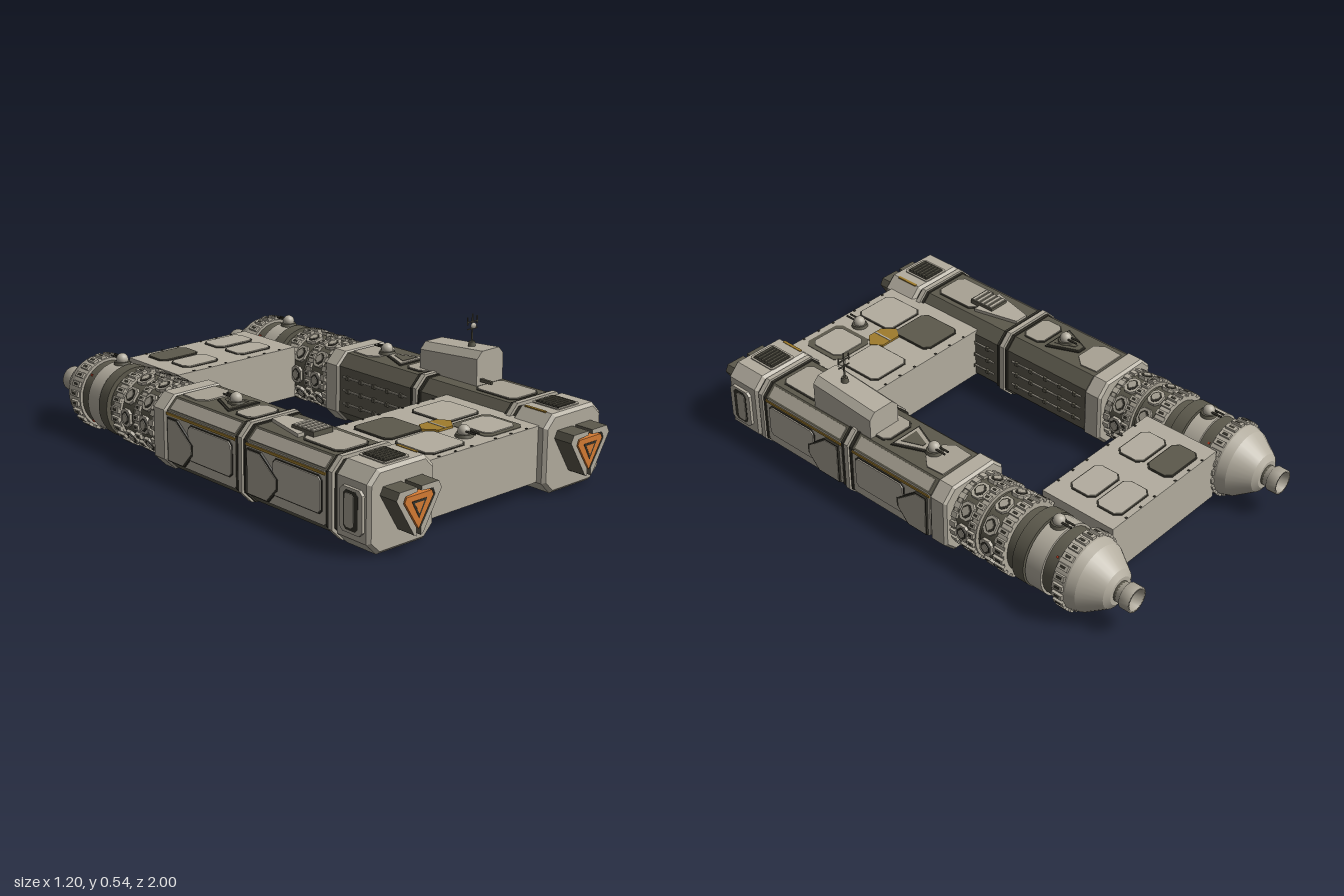
import * as THREE from 'three';

const paint = (name, color, side = THREE.FrontSide) => {
  const m = new THREE.MeshStandardMaterial({ color, side });
  m.name = name;
  return m;
};

export function createModel() {
  const light = paint('hull grey', 0xb3ad9f);
  const pale = paint('panel grey', 0xa8a294);
  const dark = paint('dark olive', 0x5c594c);
  const black = paint('recess black', 0x35332b);
  const orange = paint('signal orange', 0xd67c34);
  const gold = paint('ochre gold', 0xa07c2c);
  const red = paint('marker red', 0xb03a22);
  const root = new THREE.Group();
  root.name = 'twinHullShip';

  const add = (parent, name, geo, mat, x = 0, y = 0, z = 0) => {
    const m = new THREE.Mesh(geo, mat);
    m.name = name;
    m.position.set(x, y, z);
    parent.add(m);
    return m;
  };
  const box = (p, name, mat, w, h, d, x, y, z) => add(p, name, new THREE.BoxGeometry(w, h, d), mat, x, y, z);
  const poly = pts => new THREE.Shape(pts.map(([a, b]) => new THREE.Vector2(a, b)));
  // rectangle with cut corners
  const cut = (x0, x1, y0, y1, c) => [[x0 + c, y0], [x1 - c, y0], [x1, y0 + c], [x1, y1 - c],
    [x1 - c, y1], [x0 + c, y1], [x0, y1 - c], [x0, y0 + c]];
  const extrude = (shape, depth, bevel = 0) => new THREE.ExtrudeGeometry(shape, {
    depth: depth - 2 * bevel, bevelEnabled: bevel > 0, bevelThickness: bevel, bevelSize: bevel, bevelOffset: -bevel, bevelSegments: 1
  }).translate(0, 0, bevel);
  // eight-sided hull section running from z0 back to z1
  const section = (p, name, mat, hw, hh, c, z0, z1, bevel = 0) =>
    add(p, name, extrude(poly(cut(-hw, hw, -hh, hh, c)), z0 - z1, bevel), mat, 0, 0.155, z1);
  // thin plate lying on top, points given as [x, z]
  const topPlate = (p, name, mat, pts, y, h = 0.006) =>
    add(p, name, extrude(poly(pts.map(([x, z]) => [x, -z]).reverse()), h).rotateX(-Math.PI / 2), mat, 0, y, 0);
  // thin plate on a side wall facing s, points given as [z, y]
  const sidePlate = (p, name, mat, pts, s, x, h = 0.006) =>
    add(p, name, extrude(poly(pts.map(([z, y]) => [-s * z, y])), h).rotateY(s * Math.PI / 2), mat, s * x, 0, 0);
  const framedTop = (p, name, mat, x0, x1, z0, z1, y, rim = black) => {
    topPlate(p, name + 'Rim', rim, cut(x0, x1, z0, z1, 0.022), y, 0.003);
    const e = rim === dark ? 0.02 : 0.005;
    topPlate(p, name, mat, cut(x0 + e, x1 - e, z0 + e, z1 - e, 0.02), y, 0.007);
  };
  const ring = (p, name, mat, rFront, rBack, z0, z1) =>
    add(p, name, new THREE.CylinderGeometry(rFront, rBack, z0 - z1, 32).rotateX(Math.PI / 2), mat, 0, 0.155, (z0 + z1) / 2);
  const around = (p, name, mat, n, r, z, geo) => {
    for (let i = 0; i < n; i++) {
      const a = (i + 0.5) / n * Math.PI * 2;
      const m = add(p, name, geo, mat, Math.sin(a) * r, 0.155 + Math.cos(a) * r, z);
      m.rotation.z = -a;
    }
  };
  const turret = (p, x, y, z, dir) => {
    const t = new THREE.Group();
    t.name = 'turret';
    t.position.set(x, y, z);
    add(t, 'turretBase', new THREE.CylinderGeometry(0.03, 0.034, 0.012, 16), dark, 0, 0.006, 0);
    add(t, 'turretDome', new THREE.SphereGeometry(0.024, 16, 10), light, 0, 0.02, 0);
    for (const s of [-1, 1])
      add(t, 'gunBarrel', new THREE.CylinderGeometry(0.004, 0.004, 0.055, 8).rotateX(Math.PI / 2), black, s * 0.009, 0.024, dir * 0.035);
    p.add(t);
  };

  function hull(s) {
    const g = new THREE.Group();
    g.name = s > 0 ? 'leftHull' : 'rightHull';
    g.position.x = s * 0.43;
    root.add(g);

    // box hull: nose block, two bays, ribs and rear collar
    section(g, 'noseBlock', light, 0.153, 0.15, 0.045, 0.92, 0.755, 0.012);
    section(g, 'noseNeck', black, 0.142, 0.138, 0.04, 0.76, 0.71);
    section(g, 'hullCore', dark, 0.145, 0.14, 0.045, 0.72, -0.18);
    for (const z of [0.735, 0.262]) section(g, 'hullRib', light, 0.154, 0.15, 0.047, z + 0.008, z - 0.012);
    for (const z of [0.714, 0.283, 0.238]) section(g, 'darkRib', black, 0.15, 0.145, 0.046, z + 0.005, z - 0.005);
    section(g, 'rearCollar', light, 0.155, 0.146, 0.05, -0.17, -0.25, 0.01);

    // nose emblem: flared split triangle holding an orange wedge
    topless(g);
    // nose side hatch
    sidePlate(g, 'noseHatch', light, cut(0.79, 0.9, 0.075, 0.235, 0.015), s, 0.153, 0.012);
    sidePlate(g, 'noseHatchRecess', black, cut(0.81, 0.88, 0.085, 0.225, 0.012), s, 0.163, 0.003);
    sidePlate(g, 'noseHatchDoor', pale, cut(0.818, 0.86, 0.095, 0.215, 0.008), s, 0.163, 0.005);
    // nose vent and inner gold strip
    topPlate(g, 'ventRim', pale, cut(-0.06, 0.06, 0.765, 0.895, 0.008), 0.305, 0.004);
    topPlate(g, 'ventRecess', black, cut(-0.052, 0.052, 0.775, 0.885, 0.006), 0.305, 0.006);
    for (let i = 0; i < 6; i++) box(g, 'ventSlat', dark, 0.09, 0.006, 0.008, 0, 0.312, 0.788 + i * 0.017);
    topPlate(g, 'noseStripe', gold, cut(-s * 0.107 - 0.006, -s * 0.107 + 0.006, 0.78, 0.88, 0.002), 0.303, 0.004);

    // outer side armour of each bay
    for (const [z0, z1] of [[0.29, 0.705], [-0.168, 0.23]]) {
      sidePlate(g, 'sideArmour', light, cut(z0, z1, 0.055, 0.25, 0.008), s, 0.144, 0.005);
      const za = z1 - 0.015, zb = z1 - 0.27, zc = z0 + 0.012;
      sidePlate(g, 'panelGap', black, cut(zb, za, 0.09, 0.23, 0.015), s, 0.148, 0.003);
      sidePlate(g, 'sidePanel', light, cut(zb + 0.005, za - 0.005, 0.095, 0.225, 0.013), s, 0.148, 0.008);
      const wedge = e => [[zc + e, 0.06 + e], [zb - 0.02 - e, 0.06 + e], [zb + 0.035 - 2 * e, 0.12],
        [zb + 0.035 - 2 * e, 0.155], [zb - 0.06 - e, 0.23 - e], [zc + e, 0.23 - e]];
      sidePlate(g, 'wedgeGap', black, wedge(0), s, 0.149, 0.008);
      sidePlate(g, 'wedgePanel', pale, wedge(0.005), s, 0.149, 0.01);
      sidePlate(g, 'goldStripe', gold, [[z0, 0.236], [z1, 0.236], [z1, 0.246], [z0, 0.246]], s, 0.148, 0.004);
      // light strip on the outer upper slope
      const slope = box(g, 'slopePlate', pale, 0.048, 0.004, z1 - z0 - 0.02, s * 0.124, 0.274, (z0 + z1) / 2);
      slope.rotation.z = -s * Math.PI / 4;
      // service rails and clamps on the inner wall
      for (const y of [0.1, 0.155, 0.21]) {
        box(g, 'innerRail', pale, 0.006, 0.006, z1 - z0 - 0.04, -s * 0.148, y, (z0 + z1) / 2);
        for (let i = 0; i < 5; i++) box(g, 'railClamp', dark, 0.012, 0.016, 0.014, -s * 0.149, y, z0 + 0.05 + i * 0.075);
      }
    }

    // top deck
    framedTop(g, 'deckPanel', pale, -0.078, 0.078, 0.49, 0.695, 0.294);
    topPlate(g, 'rearDeckPanel', pale, [[-0.075, -0.165], [0.075, -0.165], [0.08, -0.09], [0.04, -0.045], [-0.05, -0.045], [-0.08, -0.08]].reverse(), 0.294).material.side = THREE.FrontSide;
    framedTop(g, 'midDeckPanel', pale, -0.075, 0.075, 0.12, 0.228, 0.294);
    topPlate(g, 'deckArrowRim', black, [[-0.075, 0.1], [0.075, 0.1], [0.02, -0.03], [-0.02, -0.03]], 0.294, 0.006);
    topPlate(g, 'deckArrow', s > 0 ? pale : dark, [[-0.065, 0.094], [0.065, 0.094], [0.015, -0.024], [-0.015, -0.024]], 0.294, 0.01);
    topPlate(g, 'deckArrowCentre', dark, [[-0.04, 0.08], [0.04, 0.08], [0.008, 0.0], [-0.008, 0.0]], 0.294, 0.012);
    turret(g, 0, 0.3, s > 0 ? -0.05 : 0.055, -1);

    // engine: stacked rings ending in a tapered nozzle
    const rings = [
      ['engineCore', dark, 0.126, 0.126, -0.24, -0.76], ['ringA', pale, 0.14, 0.14, -0.262, -0.28],
      ['ringB', dark, 0.136, 0.136, -0.28, -0.375], ['ringC', pale, 0.142, 0.142, -0.355, -0.385],
      ['ringD', dark, 0.136, 0.136, -0.4, -0.47], ['ringE', light, 0.143, 0.143, -0.475, -0.52],
      ['darkRing', dark, 0.145, 0.145, -0.56, -0.612], ['lightRing', light, 0.141, 0.141, -0.618, -0.69],
      ['neckRing', dark, 0.132, 0.132, -0.69, -0.74], ['ringF', light, 0.143, 0.143, -0.74, -0.8],
      ['nozzleShoulder', light, 0.143, 0.132, -0.8, -0.835], ['nozzleCone', light, 0.132, 0.078, -0.835, -0.915],
      ['nozzleEnd', light, 0.078, 0.055, -0.915, -0.93], ['nozzleThroat', dark, 0.04, 0.04, -0.92, -0.96],
    ];
    for (const r of rings) ring(g, ...r);
    add(g, 'exhaustTube', new THREE.LatheGeometry([[0.038, -0.92], [0.042, -0.955], [0.05, -0.96], [0.05, -1],
      [0.04, -1], [0.034, -0.962]].map(([r, z]) => new THREE.Vector2(r, -z)), 20).rotateX(-Math.PI / 2), paleDouble, 0, 0.155, 0);
    for (const [z, d] of [[-0.365, 0.03], [-0.498, 0.045], [-0.77, 0.045]]) {
      around(g, 'ringTooth', light, 24, 0.147, z, new THREE.BoxGeometry(0.022, 0.012, d));
      around(g, 'toothSlot', black, 24, 0.149, z, new THREE.BoxGeometry(0.01, 0.01, d * 0.5));
    }
    around(g, 'ringTooth', light, 24, 0.142, -0.275, new THREE.BoxGeometry(0.022, 0.012, 0.025));
    const lozenge = (w, l, h) => extrude(poly(cut(-w / 2, w / 2, -l / 2, l / 2, 0.014)), h).rotateX(-Math.PI / 2);
    for (const z of [-0.32, -0.435]) {
      around(g, 'ringPod', light, 10, 0.134, z, lozenge(0.068, 0.055, 0.012));
      around(g, 'ringPodSlot', black, 10, 0.142, z, lozenge(0.05, 0.04, 0.006));
      around(g, 'ringPodCap', pale, 10, 0.142, z, lozenge(0.04, 0.03, 0.009));
    }
    around(g, 'markerLight', red, 4, 0.132, -0.725, new THREE.BoxGeometry(0.008, 0.008, 0.008));
    turret(g, 0, 0.293, -0.65, -1);
    return g;
  }

  const paleDouble = paint('exhaust grey', 0xa8a294, THREE.DoubleSide);
  function topless(g) {
    const wedge = [[0, 0.095], [0.066, 0.2], [0.058, 0.217], [-0.058, 0.217], [-0.066, 0.2]];
    for (const m of [-1, 1]) {
      const half = [[0.01, 0.07], [0.02, 0.075], [0.104, 0.215], [0.09, 0.242], [0.01, 0.242], [0.01, 0.226], [0.064, 0.222], [0.073, 0.2], [0.01, 0.1]];
      const pts = half.map(([x, y]) => [x * m, y]);
      add(g, 'noseBracket', extrude(poly(m > 0 ? pts : pts.reverse()), 0.08), [light, dark], 0, 0, 0.918);
    }
    add(g, 'noseWedge', extrude(poly(wedge), 0.03), orange, 0, 0, 0.968);
    const tri = k => [[0, 0.175 - 0.042 * k], [0.035 * k, 0.175 + 0.022 * k], [-0.035 * k, 0.175 + 0.022 * k]];
    add(g, 'noseTriangleLine', extrude(poly(tri(1)), 0.002), black, 0, 0, 0.9975);
    add(g, 'noseTriangle', extrude(poly(tri(0.65)), 0.003), orange, 0, 0, 0.997);
  }

  const left = hull(1), right = hull(-1);

  // command block with sloping roof on the left hull
  const tower = extrude(poly([[-0.045, 0.29], [0.098, 0.29], [0.098, 0.4], [0.073, 0.427], [-0.018, 0.427], [-0.045, 0.4]]), 0.3);
  const tp = tower.attributes.position;
  for (let i = 0; i < tp.count; i++) if (tp.getY(i) > 0.35) tp.setY(i, tp.getY(i) - (0.3 - tp.getZ(i)) * 0.08);
  tower.computeVertexNormals();
  add(left, 'commandBlock', tower, light, 0, 0, 0.18);
  box(left, 'frontBar', dark, 0.012, 0.012, 0.06, -0.02, 0.315, 0.505);
  // antenna mast with cross arms
  const mast = new THREE.Group();
  mast.name = 'antenna';
  mast.position.set(0.025, 0.42, 0.385);
  left.add(mast);
  add(mast, 'mastFoot', new THREE.CylinderGeometry(0.012, 0.016, 0.025, 10), dark, 0, 0.006, 0);
  add(mast, 'mastPole', new THREE.CylinderGeometry(0.003, 0.004, 0.125, 8), dark, 0, 0.063, 0);
  add(mast, 'mastDish', new THREE.SphereGeometry(0.015, 12, 8).scale(1, 0.8, 0.5), pale, 0, 0.08, 0.006);
  for (const y of [0.068, 0.095]) box(mast, 'mastArm', dark, 0.054, 0.004, 0.004, 0, y, 0);
  for (const x of [-0.026, 0.026]) box(mast, 'mastTip', dark, 0.004, 0.03, 0.004, x, 0.1, 0);

  // tapered cowl with grille on the right hull
  topPlate(right, 'cowl', light, [[-0.075, 0.48], [0.075, 0.48], [0.03, 0.29], [-0.03, 0.29]], 0.294, 0.014);
  box(right, 'grille', dark, 0.09, 0.022, 0.115, 0, 0.308, 0.47);
  for (let i = 0; i < 5; i++) box(right, 'grilleSlat', light, 0.084, 0.006, 0.013, 0, 0.32, 0.425 + i * 0.0225);

  // cross bridges
  const bridge = (name, z0, z1) => {
    const g = new THREE.Group();
    g.name = name;
    root.add(g);
    box(g, 'bridgeBody', light, 0.6, 0.213, z1 - z0, 0, 0.1575, (z0 + z1) / 2);
    for (const s of [-1, 1]) for (let i = 0; i < 3; i++)
      for (const z of [z0, z1]) box(g, 'edgeStud', black, 0.008, 0.006, 0.008, s * (0.06 + i * 0.08), 0.264, z + (z === z0 ? 0.006 : -0.006));
    return g;
  };
  const front = bridge('frontBridge', 0.41, 0.885), rear = bridge('rearBridge', -0.785, -0.46);
  framedTop(front, 'roofPanel', dark, -0.24, -0.048, 0.455, 0.65, 0.263);
  framedTop(front, 'roofPanel', light, 0.048, 0.24, 0.455, 0.65, 0.263);
  framedTop(front, 'roofPanel', light, -0.24, -0.048, 0.665, 0.855, 0.263);
  framedTop(front, 'roofPanel', light, 0.048, 0.24, 0.665, 0.855, 0.263, dark);
  topPlate(front, 'goldMarking', gold, [[-0.075, 0.65], [-0.045, 0.607], [0.045, 0.607], [0.075, 0.65], [0.035, 0.697], [-0.035, 0.697]].reverse(), 0.263, 0.009);
  box(front, 'goldSeam', light, 0.008, 0.002, 0.09, 0, 0.2725, 0.652);
  turret(front, 0, 0.263, 0.785, 1);
  for (const s of [-1, 1]) {
    const [a, b] = s < 0 ? [-0.24, -0.048] : [0.048, 0.24];
    framedTop(rear, 'roofPanel', s < 0 ? dark : light, a, b, -0.76, -0.642, 0.263);
    framedTop(rear, 'roofPanel', light, a + (s < 0 ? 0.015 : 0), b - (s < 0 ? 0 : 0.015), -0.628, -0.508, 0.263);
  }
  return root;
}
